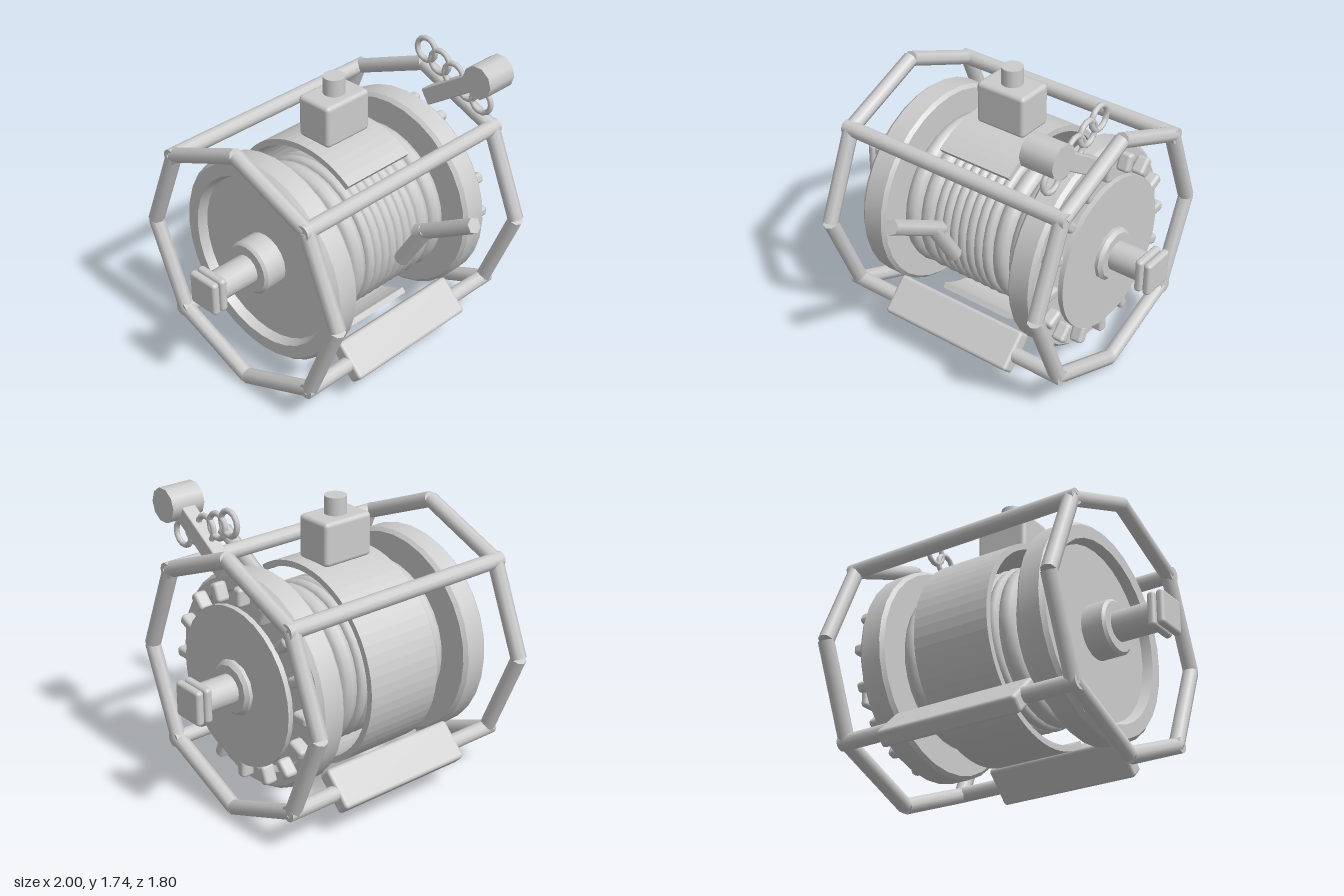
import * as THREE from 'three';
import { toCreasedNormals } from 'three/addons/utils/BufferGeometryUtils.js';
import { RoundedBoxGeometry } from 'three/addons/geometries/RoundedBoxGeometry.js';

const grey = new THREE.MeshStandardMaterial({ color: 0xcccccc });
grey.name = 'plain grey';
const AXIS_Y = 0.79, AXIS_Z = -0.14;

function add(parent, name, geometry, x = 0, y = 0, z = 0) {
  const mesh = new THREE.Mesh(geometry, grey);
  mesh.name = name;
  mesh.position.set(x, y, z);
  parent.add(mesh);
  return mesh;
}

// straight bar between two points
function bar(parent, name, a, b, radius, sides = 8) {
  const from = new THREE.Vector3(...a), to = new THREE.Vector3(...b);
  const dir = to.clone().sub(from);
  const mesh = add(parent, name, new THREE.CylinderGeometry(radius, radius, dir.length(), sides));
  mesh.position.copy(from).add(to).multiplyScalar(0.5);
  mesh.quaternion.setFromUnitVectors(new THREE.Vector3(0, 1, 0), dir.normalize());
  return mesh;
}

// turned part around the x axis, from [radius, x] points
function turned(parent, name, points, sides = 32) {
  const lathe = new THREE.LatheGeometry(points.map(([r, x]) => new THREE.Vector2(r, x)), sides);
  lathe.rotateZ(-Math.PI / 2);
  return add(parent, name, toCreasedNormals(lathe, 0.6));
}

const rounded = (w, h, d, r = 0.02) => new RoundedBoxGeometry(w, h, d, 2, r);

export function createModel() {
  const model = new THREE.Group();
  model.name = 'winch';

  // everything that turns about the main axis
  const drum = new THREE.Group();
  drum.name = 'drum';
  drum.position.set(0, AXIS_Y, AXIS_Z);
  model.add(drum);

  turned(drum, 'drumCore', [[0, -0.44], [0.41, -0.44], [0.41, 0.44], [0, 0.44]]);
  turned(drum, 'shaft', [[0, -0.92], [0.085, -0.92], [0.085, 0.92], [0, 0.92]], 16);

  // rope coils: thick at the ends, thin in the middle
  const coil = (x, tube) => {
    const g = new THREE.TorusGeometry(0.46 - tube, tube, 10, 32);
    add(drum, 'ropeCoil', g.rotateY(Math.PI / 2), x);
  };
  for (const s of [-1, 1]) for (const x of [0.365, 0.255]) coil(s * x, 0.057);
  for (let i = -3; i <= 3; i++) coil(i * 0.057, 0.034);

  // side flanges with a shallow recess on the outer face
  for (const s of [-1, 1]) {
    const profile = [[0, 0.43], [0.585, 0.43], [0.605, 0.45], [0.605, 0.57], [0.585, 0.593],
      [0.51, 0.593], [0.49, 0.54], [0, 0.54]];
    const flange = turned(drum, s > 0 ? 'leftFlange' : 'rightFlange', profile);
    if (s < 0) flange.rotation.y = Math.PI;
  }
  turned(drum, 'rightBoss', [[0, -0.68], [0.14, -0.68], [0.155, -0.665], [0.155, -0.53], [0, -0.53]], 20);

  // toothed wheel on the model's left
  turned(drum, 'wheelDisc', [[0, 0.655], [0.45, 0.655], [0.45, 0.685], [0, 0.685]], 32);
  turned(drum, 'wheelCollar', [[0.08, 0.68], [0.155, 0.68], [0.155, 0.705], [0.135, 0.725], [0.08, 0.725]], 12);
  for (let i = 0; i < 16; i++) {
    const a = i * Math.PI / 8;
    const tooth = add(drum, 'wheelTooth', rounded(0.08, 0.11, 0.06),
      0.628, Math.cos(a) * 0.505, Math.sin(a) * 0.505);
    tooth.rotation.x = a;
  }

  // square double plates at the shaft ends
  for (const s of [-1, 1]) {
    for (const x of [0.923, 0.976]) add(drum, 'shaftEndPlate', rounded(0.046, 0.2, 0.2), s * x);
    add(drum, 'shaftEndCore', new THREE.BoxGeometry(0.06, 0.13, 0.13), s * 0.95);
  }

  // curved guard wrapped around the back of the drum
  const end = THREE.MathUtils.degToRad(125);
  const arc = new THREE.Shape();
  arc.absarc(0, 0, 0.58, -end, end, false);
  arc.absarc(0, 0, 0.545, end, -end, true);
  const guard = new THREE.ExtrudeGeometry(arc, { depth: 0.47, bevelEnabled: false, curveSegments: 22 });
  add(drum, 'drumGuard', guard.translate(0, 0, -0.235).rotateY(Math.PI / 2));

  // octagonal end frames joined by four rails
  const R = 0.73, tube = 0.045;
  const corner = (x, i) => {
    const a = i * Math.PI / 4;
    return [x, AXIS_Y + Math.cos(a) * R, AXIS_Z + Math.sin(a) * R];
  };
  for (const x of [-0.715, 0.715])
    for (let i = 0; i < 8; i++) bar(model, 'frameSegment', corner(x, i), corner(x, i + 1), tube);
  for (const i of [1, 3, 5, 7]) bar(model, 'frameRail', corner(-0.75, i), corner(0.75, i), tube, 12);

  // slanted feet on the lower rails
  for (const s of [-1, 1]) {
    const foot = add(model, 'foot', rounded(0.87, 0.1, 0.235), 0, 0.28, AXIS_Z + s * 0.507);
    foot.rotation.x = s * Math.PI / 4;
  }

  // housing and cap on top
  add(model, 'topHousing', rounded(0.32, 0.25, 0.23, 0.025), 0, 1.485, -0.148);
  add(model, 'topCap', new THREE.CylinderGeometry(0.062, 0.062, 0.12, 20), 0, 1.65, -0.148);

  // bent handle at the front
  bar(model, 'handleStem', [0, 0.77, 0.37], [0, 1.04, 0.54], tube, 8);
  bar(model, 'handleGrip', [0, 1.0, 0.48], [0, 1.225, 0.865], tube, 6);

  // brake lever with its round knob
  const lever = add(model, 'leverArm', rounded(0.085, 0.1, 0.5, 0.008), 0.63, 1.53, 0.19);
  lever.rotation.x = -Math.atan2(0.277, 0.42);
  bar(model, 'leverKnob', [0.53, 1.667, 0.4], [0.73, 1.667, 0.4], 0.097, 10);

  // chain hanging along the lever
  for (let i = 0; i < 5; i++) {
    const link = new THREE.TorusGeometry(0.068, 0.016, 8, 14).rotateY(Math.PI / 2);
    add(model, 'chainLink', link, 0.63, 1.5 + i * 0.0425, 0.36 - i * 0.1025);
  }
  return model;
}
